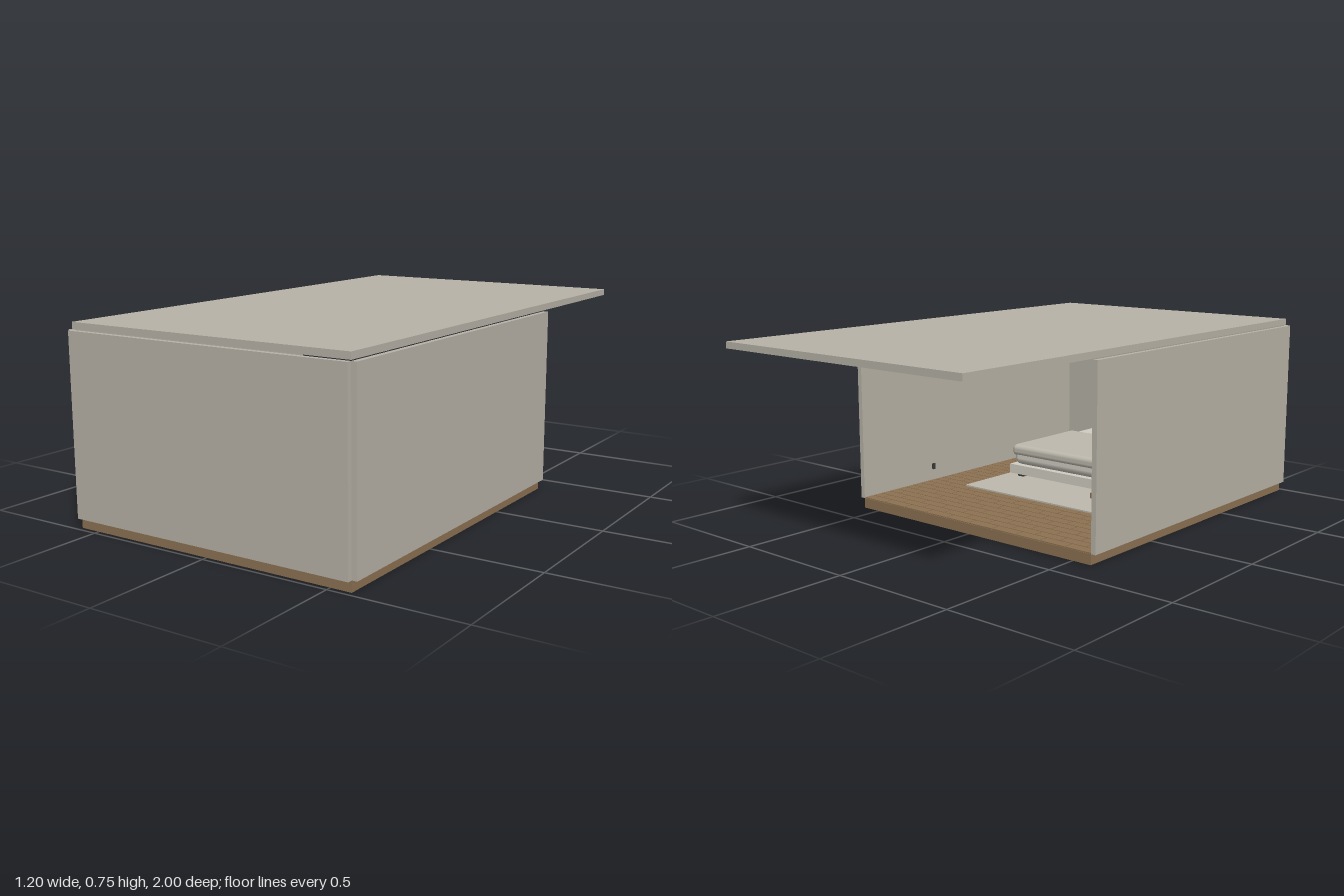
import * as THREE from 'three';
import { RoundedBoxGeometry } from 'three/addons/geometries/RoundedBoxGeometry.js';

const material = (name, color) => {
  const m = new THREE.MeshStandardMaterial({ color });
  m.name = name;
  return m;
};

export function createModel() {
  const wall = material('plaster', 0xb8b3a7);
  const wood = material('wood', 0x8d7253);
  const fabric = material('pale fabric', 0xd2cec4);
  const rugCloth = material('rug cloth', 0xbdb9ad);
  const dark = material('dark metal', 0x3b3a38);
  const room = new THREE.Group();
  room.name = 'room';

  const add = (name, geo, mat, x, y, z, parent = room) => {
    const mesh = new THREE.Mesh(geo, mat);
    mesh.name = name;
    mesh.position.set(x, y, z);
    parent.add(mesh);
    return mesh;
  };
  // Box given by its low and high bounds on each axis
  const box = (name, mat, [x0, x1], [y0, y1], [z0, z1], parent) =>
    add(name, new THREE.BoxGeometry(x1 - x0, y1 - y0, z1 - z0), mat,
      (x0 + x1) / 2, (y0 + y1) / 2, (z0 + z1) / 2, parent);
  const soft = (name, mat, [w, h, d], r, x, y, z, parent) =>
    add(name, new RoundedBoxGeometry(w, h, d, 3, r), mat, x, y, z, parent);
  const group = (name) => {
    const g = new THREE.Group();
    g.name = name;
    room.add(g);
    return g;
  };

  // Shell, open at the back, with a long overhanging roof
  box('floorBase', wood, [-0.58, 0.58], [0, 0.04], [-0.37, 0.98]);
  box('frontWall', wall, [-0.58, 0.58], [0.04, 0.717], [0.98, 1]);
  for (const s of [-1, 1]) {
    add(s > 0 ? 'leftWall' : 'rightWall', new THREE.BoxGeometry(0.02, 0.677, 1.35), wall, s * 0.59, 0.3785, 0.305);
  }
  box('roof', wall, [-0.58, 0.58], [0.72, 0.745], [-1, 0.98]);

  // Staggered floor planks with thin gaps
  const planks = group('floorPlanks');
  const rows = 30, length = 0.116, depth = 1.35 / rows;
  for (let r = 0; r < rows; r++) {
    const z = -0.37 + r * depth;
    const shift = (r % 2) * length / 2;
    for (let x = -0.58 - shift; x < 0.575; x += length) {
      const a = Math.max(x, -0.58) + 0.002, b = Math.min(x + length, 0.58) - 0.002;
      if (b - a > 0.01) box('plank', wood, [a, b], [0.039, 0.044], [z + 0.002, z + depth - 0.002], planks);
    }
  }
  box('rug', rugCloth, [-0.4, 0.39], [0.044, 0.05], [0.03, 0.75]);

  // Bed with its head at the front wall
  const bed = group('bed');
  box('bedFrame', fabric, [-0.35, 0.35], [0.065, 0.105], [0.27, 0.96], bed);
  for (const x of [-0.31, 0.31]) for (const z of [0.31, 0.92]) {
    box('bedLeg', dark, [x - 0.015, x + 0.015], [0.044, 0.065], [z - 0.015, z + 0.015], bed);
  }
  soft('mattress', fabric, [0.68, 0.08, 0.67], 0.03, 0, 0.143, 0.615, bed);
  soft('blanket', rugCloth, [0.69, 0.05, 0.42], 0.02, 0, 0.167, 0.485, bed);
  box('headboard', wood, [-0.36, 0.36], [0.044, 0.32], [0.955, 0.978], bed);
  for (const x of [-0.17, 0.17]) soft('pillow', fabric, [0.26, 0.06, 0.14], 0.028, x, 0.21, 0.86, bed);

  // Desk along the right wall
  const desk = group('desk');
  box('deskTop', wood, [-0.575, -0.385], [0.155, 0.175], [-0.12, 0.34], desk);
  for (const x of [-0.56, -0.4]) for (const z of [-0.1, 0.32]) {
    box('deskLeg', wood, [x - 0.01, x + 0.01], [0.044, 0.155], [z - 0.01, z + 0.01], desk);
  }
  // Open frame standing on the desk
  for (const z of [0.13, 0.33]) for (const x of [-0.56, -0.4]) {
    box('shelfPost', wood, [x - 0.008, x + 0.008], [0.175, 0.49], [z - 0.008, z + 0.008], desk);
  }
  box('shelfBoard', wood, [-0.57, -0.39], [0.34, 0.352], [0.12, 0.34], desk);
  box('shelfTop', wood, [-0.57, -0.39], [0.485, 0.5], [0.12, 0.34], desk);

  // Table lamp
  const lamp = group('tableLamp');
  add('lampBase', new THREE.CylinderGeometry(0.03, 0.03, 0.012, 24), dark, -0.42, 0.181, 0.04, lamp);
  add('lampStem', new THREE.CylinderGeometry(0.005, 0.005, 0.14, 12), dark, -0.42, 0.25, 0.04, lamp);
  add('lampShade', new THREE.CylinderGeometry(0.028, 0.045, 0.075, 24), fabric, -0.42, 0.345, 0.04, lamp);

  // Small wooden spotlight on a thin post
  const spot = group('spotLamp');
  add('spotBase', new THREE.CylinderGeometry(0.022, 0.022, 0.01, 20), wood, -0.48, 0.18, -0.08, spot);
  add('spotPost', new THREE.CylinderGeometry(0.004, 0.004, 0.15, 10), fabric, -0.48, 0.255, -0.08, spot);
  box('spotHead', wood, [-0.5, -0.44], [0.33, 0.37], [-0.1, -0.06], spot);

  // Socket on the left wall
  box('socket', dark, [0.574, 0.58], [0.09, 0.115], [0.02, 0.035]);
  return room;
}
